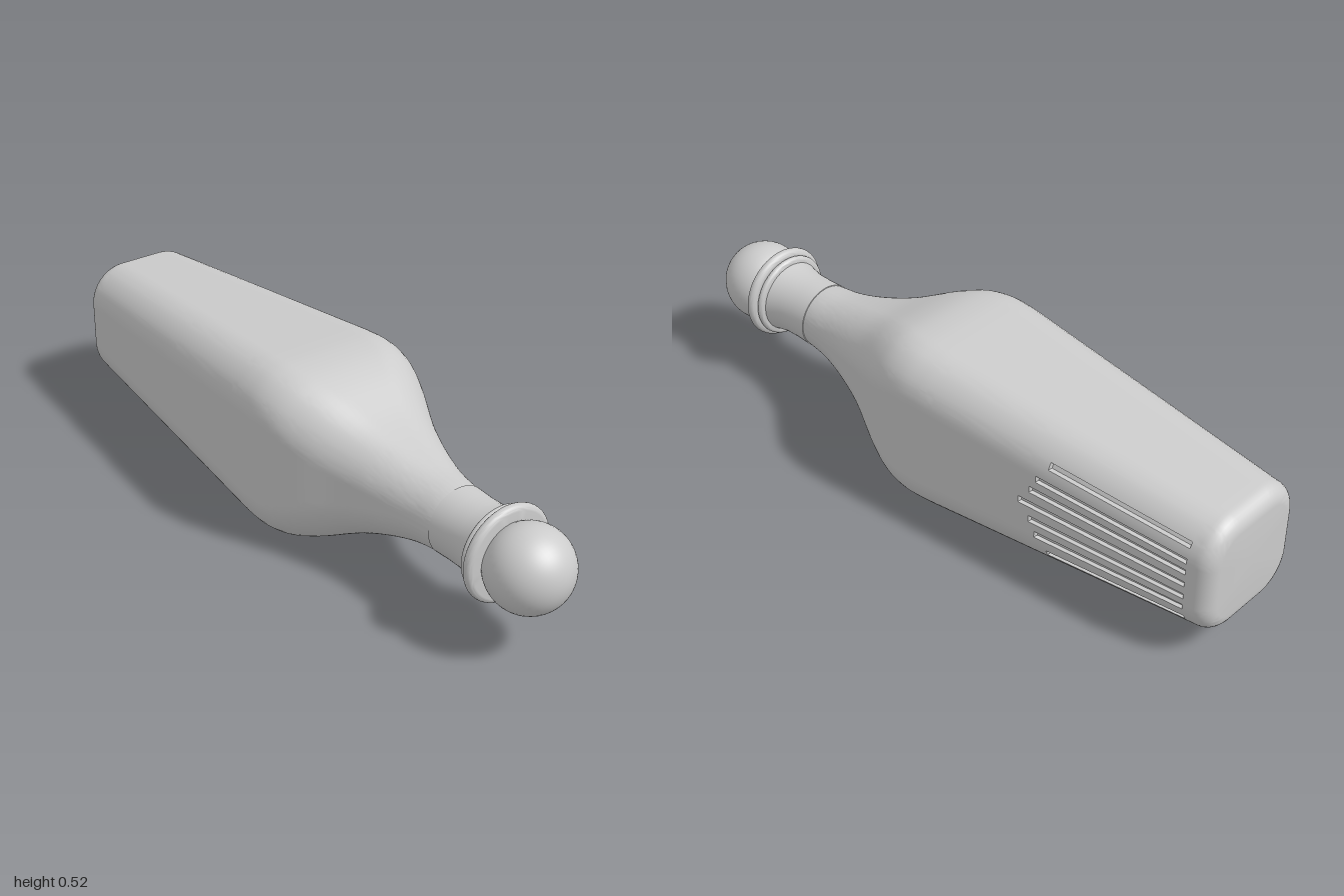
import * as THREE from 'three';
import { toCreasedNormals } from 'three/addons/utils/BufferGeometryUtils.js';

const CY = 0.261; // height of the bottle's axis
const DEPTH = 0.012, HALF = 0.055, BACK = -0.925;

// Fan of grooves on the left (+x) face: c = place across the face, z = front end
const grooves = [];
for (const [c, z] of [[0, -0.4], [0.27, -0.435], [0.51, -0.455], [0.81, -0.49]]) {
  grooves.push({ c, z });
  if (c) grooves.push({ c: -c, z });
}

// Cross-sections along the body: { z, h: half width, r: corner radius }
function bodySections() {
  const rows = [];
  // rounded heel
  for (let i = 0; i <= 8; i++) {
    const a = (i / 8) * Math.PI / 2, inset = 0.05 * (1 - Math.sin(a));
    rows.push({ z: -0.95 - 0.05 * Math.cos(a), h: 0.187 - inset, r: 0.12 - inset });
  }
  // straight taper, with extra rows where grooves start and end
  const zs = new Set([BACK - 0.002, BACK]);
  for (let z = -0.9; z < -0.11; z += 0.08) zs.add(z);
  for (const g of grooves) { zs.add(g.z); zs.add(g.z + 0.002); }
  for (const z of [...zs].sort((a, b) => a - b)) {
    const k = (z + 0.95) / 0.9;
    rows.push({ z, h: 0.187 + 0.072 * k, r: 0.12 + 0.01 * k });
  }
  // shoulder blending from rounded square to round neck
  const curve = new THREE.CatmullRomCurve3([
    [-0.1, 0.255, 0.129], [-0.04, 0.2595, 0.13], [0.03, 0.261, 0.131], [0.1, 0.253, 0.137],
    [0.17, 0.231, 0.142], [0.3, 0.172, 0.132], [0.41, 0.134, 0.118],
    [0.51, 0.109, 0.105], [0.6, 0.098, 0.098],
  ].map(p => new THREE.Vector3(...p)));
  for (let i = 0; i <= 40; i++) {
    const p = curve.getPoint(i / 40);
    rows.push({ z: p.x, h: p.y, r: Math.min(p.z, p.y) });
  }
  return rows;
}

function bodyGeometry() {
  // column positions across one side, -1..1 between corner middles
  const cols = new Set();
  for (let i = 0; i < 24; i++) cols.add(-1 + i / 12);
  for (const { c } of grooves)
    for (const s of [-1, 1]) { cols.add(c + s * HALF); cols.add(c + s * (HALF - 0.006)); }
  const ts = [...cols].sort((a, b) => a - b);
  const inGroove = (t, z) => grooves.some(g =>
    Math.abs(t - g.c) < HALF - 0.003 && z <= g.z + 0.0005 && z >= BACK - 0.0005);

  const rows = bodySections(), pos = [], idx = [], n = ts.length * 4;
  for (const { z, h, r } of rows) {
    for (let side = 0; side < 4; side++) {
      const co = [1, 0, -1, 0][side], si = [0, 1, 0, -1][side];
      for (const t of ts) {
        const y = t * (h - r * (1 - Math.SQRT1_2));
        const over = Math.max(0, Math.abs(y) - (h - r));
        let x = h - r + Math.sqrt(r * r - over * over);
        if (side === 0 && inGroove(t, z)) x -= DEPTH;
        pos.push(x * co - y * si, x * si + y * co, z);
      }
    }
  }
  for (let i = 0; i < rows.length - 1; i++)
    for (let j = 0; j < n; j++) {
      const a = i * n + j, b = i * n + (j + 1) % n;
      idx.push(a, b, b + n, a, b + n, a + n);
    }
  // flat base
  const centre = pos.length / 3;
  pos.push(0, 0, -1);
  for (let j = 0; j < n; j++) idx.push(centre, (j + 1) % n, j);

  const g = new THREE.BufferGeometry();
  g.setAttribute('position', new THREE.Float32BufferAttribute(pos, 3));
  g.setIndex(idx);
  return toCreasedNormals(g, 0.6);
}

// Turned part around the z axis from [radius, z] points
function turned(points, crease = 0.6) {
  const g = new THREE.LatheGeometry(points.map(p => new THREE.Vector2(...p)), 48);
  g.rotateX(Math.PI / 2);
  return toCreasedNormals(g, crease);
}

// Rounded collar profile
function collar(outer, inner, z0, z1) {
  const pts = [[inner, z0]], rad = (z1 - z0) / 2;
  for (let i = 0; i <= 10; i++) {
    const a = -Math.PI / 2 + (i / 10) * Math.PI;
    pts.push([outer - rad + rad * Math.cos(a), (z0 + z1) / 2 + rad * Math.sin(a)]);
  }
  pts.push([inner, z1]);
  return turned(pts);
}

export function createModel() {
  const model = new THREE.Group();
  model.name = 'bottle';
  const material = new THREE.MeshStandardMaterial({ color: 0xcccccc });
  const add = (name, geometry) => {
    const mesh = new THREE.Mesh(geometry, material);
    mesh.name = name;
    mesh.position.y = CY;
    model.add(mesh);
    return mesh;
  };

  add('body', bodyGeometry());
  add('neck', turned([[0.09, 0.594], [0.101, 0.596], [0.099, 0.65], [0.1, 0.7], [0.106, 0.735], [0.112, 0.76]]));
  add('lowerCollar', collar(0.128, 0.08, 0.752, 0.774));
  add('collarGap', turned([[0.118, 0.765], [0.118, 0.785]]));
  add('upperCollar', collar(0.143, 0.08, 0.774, 0.806));
  const ball = new THREE.SphereGeometry(0.123, 48, 32);
  ball.rotateX(Math.PI / 2);
  add('stopper', ball).position.z = 0.877;
  return model;
}
